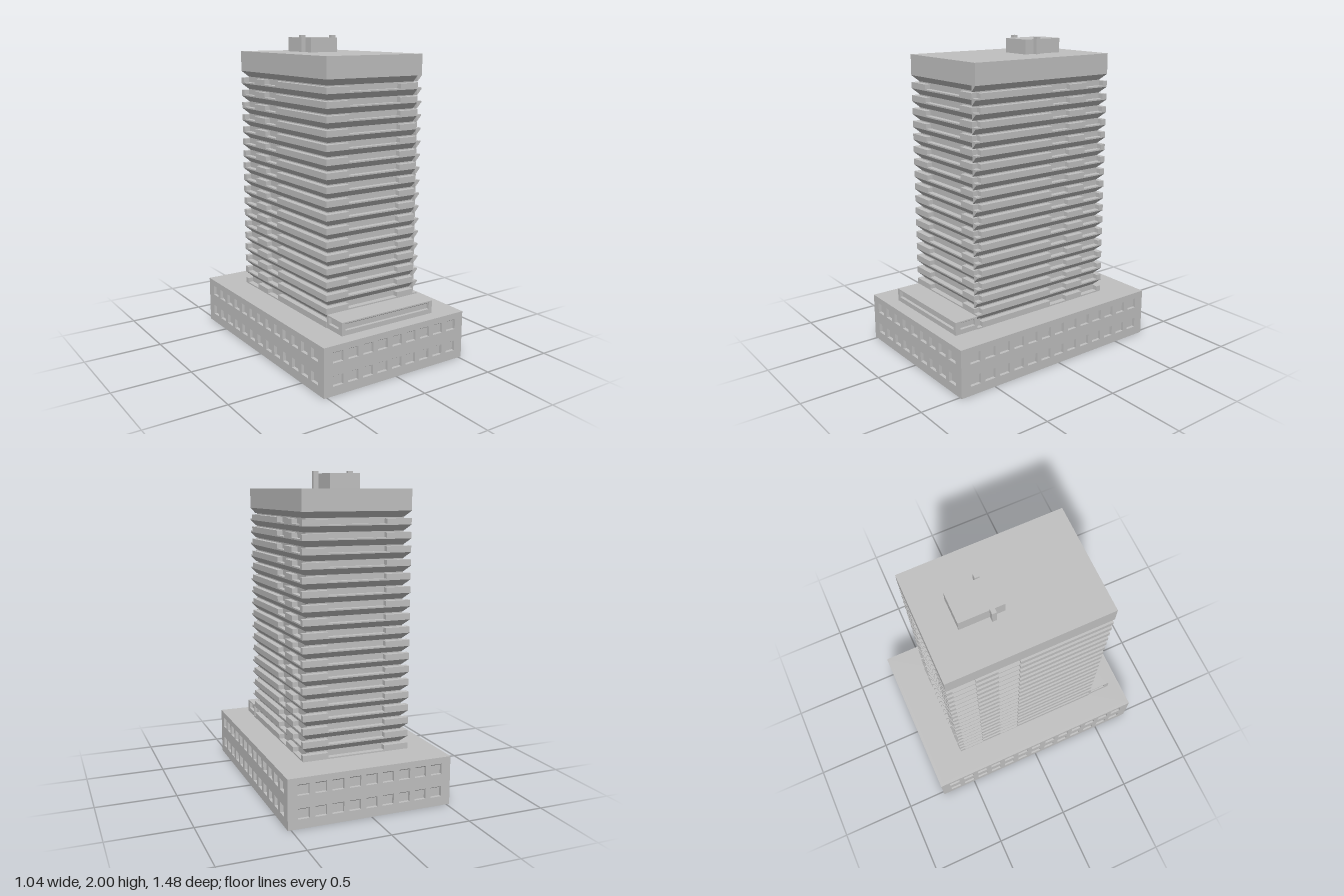
import * as THREE from 'three';
import { mergeGeometries } from 'three/addons/utils/BufferGeometryUtils.js';

const concrete = new THREE.MeshStandardMaterial({ color: 0xc0c0c0 });
concrete.name = 'concrete';

// Box given by its limits
function block(x0, x1, y0, y1, z0, z1) {
  return new THREE.BoxGeometry(x1 - x0, y1 - y0, z1 - z0)
    .translate((x0 + x1) / 2, (y0 + y1) / 2, (z0 + z1) / 2);
}

function part(name, geometries) {
  const flat = geometries.map(g => (g.index ? g.toNonIndexed() : g));
  const mesh = new THREE.Mesh(mergeGeometries(flat), concrete);
  mesh.name = name;
  return mesh;
}

// Triangular prism along x; points are [z, y]
function prism(points, xRight, width) {
  const shape = new THREE.Shape(points.map(p => new THREE.Vector2(...p)));
  return new THREE.ExtrudeGeometry(shape, { depth: width, bevelEnabled: false })
    .rotateY(-Math.PI / 2).translate(xRight, 0, 0);
}

// Wall facing +z with its outer face on z = 0 and sloped-head window openings
function facade(width, y0, y1, depth, windows) {
  const h = width / 2;
  const shape = new THREE.Shape([[-h, y0], [h, y0], [h, y1], [-h, y1]].map(p => new THREE.Vector2(...p)));
  const heads = [];
  for (const { x, w, bottom, top } of windows) {
    const a = x - w / 2, b = x + w / 2;
    shape.holes.push(new THREE.Path([[a, bottom], [a, top], [b, top], [b, bottom]].map(p => new THREE.Vector2(...p))));
    heads.push(prism([[0, top], [-depth, top], [-depth, top - 0.012]], b, w));
  }
  const wall = new THREE.ExtrudeGeometry(shape, { depth, bevelEnabled: false }).translate(0, 0, -depth);
  return mergeGeometries([wall, ...heads]);
}

function windowGrid(count, pitch) {
  const list = [];
  for (const [bottom, top] of [[0.058, 0.122], [0.2, 0.265]])
    for (let i = 0; i < count; i++)
      list.push({ x: (i - (count - 1) / 2) * pitch, w: 0.072, bottom, top });
  return list;
}

export function createModel() {
  const model = new THREE.Group();
  model.name = 'towerBlock';

  // Podium with two rows of windows on every side
  const PX = 0.52, PZ = 0.74, PY = 0.305, D = 0.02;
  const podium = [block(-PX + D, PX - D, 0, PY, -PZ + D, PZ - D)];
  for (const turn of [0, Math.PI]) {
    podium.push(facade(2 * PX, 0, PY, D, windowGrid(9, 0.106)).translate(0, 0, PZ).rotateY(turn));
    podium.push(facade(2 * (PZ - D), 0, PY, D, windowGrid(13, 0.1067)).translate(0, 0, PX).rotateY(turn + Math.PI / 2));
  }
  model.add(part('podium', podium));

  // Low entrance hall in front of the tower
  const hallTop = 0.387, HX = 0.34, HZ = 0.655;
  const hall = [
    block(-HX + D, HX - D, PY, hallTop, 0.465, HZ - D),
    facade(2 * HX, PY, hallTop, D, [{ x: 0, w: 0.63, bottom: 0.335, top: 0.378 }]).translate(0, 0, HZ),
  ];
  for (const s of [-1, 1])
    hall.push(facade(0.135, PY, hallTop, D, [{ x: 0, w: 0.105, bottom: 0.335, top: 0.378 }])
      .rotateY(s * Math.PI / 2).translate(s * HX, 0, 0.5675));
  model.add(part('entranceHall', hall));

  // Tower core
  const TX = 0.345, ZF = 0.5, ZB = -0.515, IN = 0.035;
  const roofBottom = 1.767, pitch = 0.0812, slope = 0.0365;
  model.add(part('towerCore', [block(-TX + IN, TX - IN, PY, roofBottom, ZB + IN, ZF - IN)]));

  // Sloped soffit: a box whose lower corners are drawn in
  function soffit(top) {
    const g = block(-TX, TX, top - slope, top, ZB, ZF);
    const p = g.attributes.position;
    for (let i = 0; i < p.count; i++) {
      if (p.getY(i) > top - slope / 2) continue;
      p.setX(i, p.getX(i) - Math.sign(p.getX(i)) * IN);
      p.setZ(i, p.getZ(i) + (p.getZ(i) > 0 ? -IN : IN));
    }
    g.computeVertexNormals();
    // Square end at the front corner on +x
    const end = new THREE.Shape([[TX - IN, top - slope], [TX, top], [TX - IN, top]].map(q => new THREE.Vector2(...q)));
    const cap = new THREE.ExtrudeGeometry(end, { depth: IN, bevelEnabled: false }).translate(0, 0, ZF - IN);
    return [g, cap];
  }

  // Balcony parapets, lowered to a thin slab in the openings
  function parapet(y) {
    const top = y + 0.038, X = TX - IN, F = ZF - IN, B = ZB + IN;
    const list = [block(-TX, TX, y, y + 0.009, ZB, ZF)];
    for (const [z0, z1] of [[F, ZF], [ZB, B]]) {
      list.push(block(-TX, -0.185, y, top, z0, z1));
      list.push(block(0.185, z0 > 0 ? X : TX, y, top, z0, z1));
    }
    for (const [z0, z1] of [[-0.07, F], [-0.34, -0.205]])
      for (const [x0, x1] of [[-TX, -X], [X, TX]])
        list.push(block(x0, x1, y, top, z0, z1));
    return list;
  }

  const soffits = [], parapets = [...parapet(PY)];
  for (let i = 0; i < 18; i++) {
    const y = roofBottom - i * pitch;
    soffits.push(...soffit(y));
    if (i > 0) parapets.push(...parapet(y));
  }
  model.add(part('balconySoffits', soffits));
  model.add(part('balconyParapets', parapets));

  // Roof band, plant room and its two side posts
  model.add(part('roof', [block(-TX, TX, roofBottom, 1.895, ZB, ZF)]));
  model.add(part('plantRoom', [block(-0.095, 0.1, 1.895, 1.985, -0.325, -0.05)]));
  model.add(part('roofPosts', [
    block(-0.127, -0.095, 1.895, 2, -0.142, -0.114),
    block(0.1, 0.132, 1.895, 2, -0.142, -0.114),
  ]));
  return model;
}
